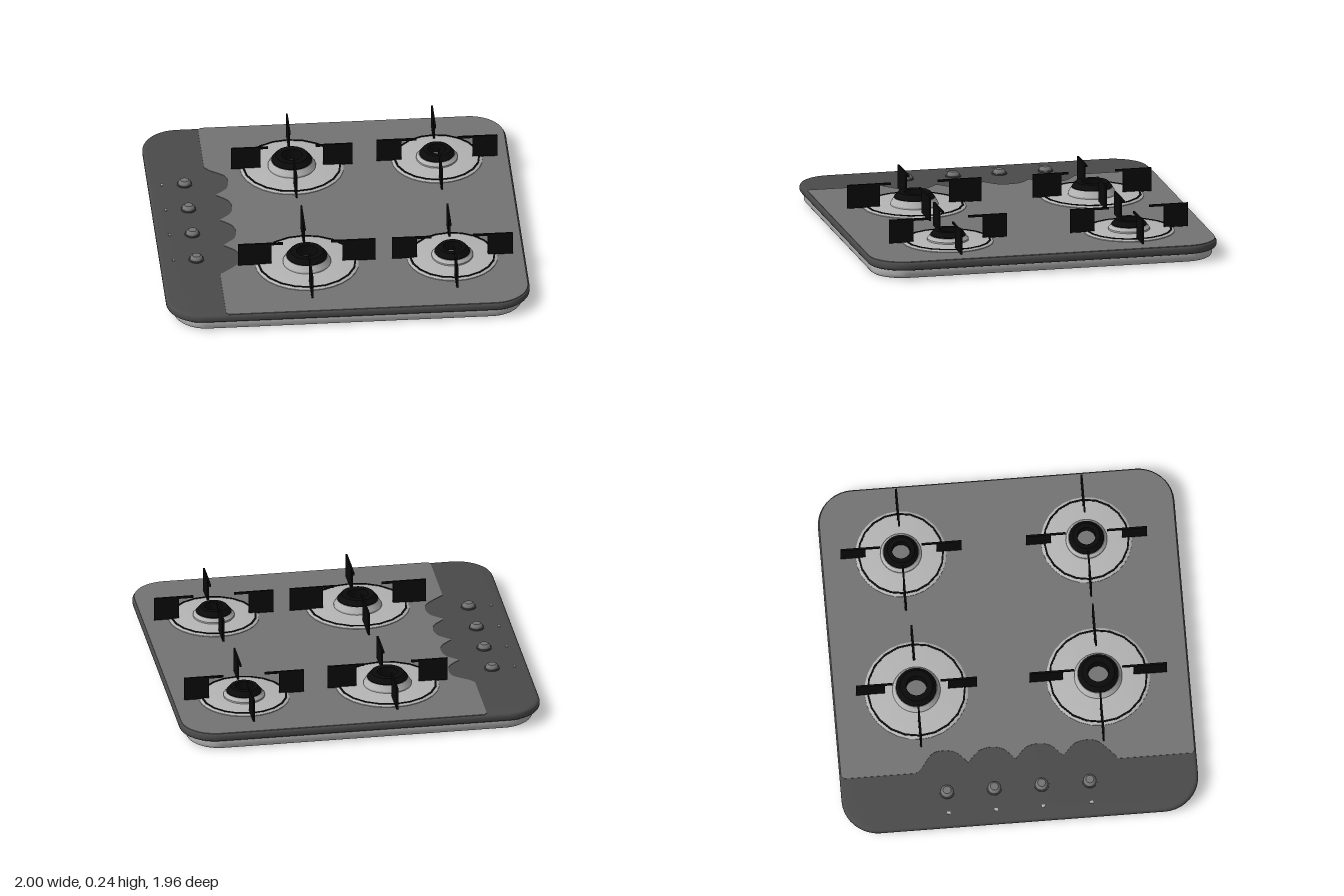
import * as THREE from 'three';
import { toCreasedNormals } from 'three/addons/utils/BufferGeometryUtils.js';

const mat = (name, color, side = THREE.FrontSide) => {
  const m = new THREE.MeshStandardMaterial({ color, side });
  m.name = name;
  return m;
};

export function createModel() {
  const dark = mat('dark enamel', 0x4a4a4a);
  const grey = mat('grey enamel', 0x737373);
  const steel = mat('light steel', 0xb4b4b4, THREE.DoubleSide);
  const black = mat('black iron', 0x0a0a0a, THREE.DoubleSide);
  const model = new THREE.Group();
  model.name = 'gasHob';

  const add = (parent, name, geo, material, x = 0, y = 0, z = 0) => {
    const mesh = new THREE.Mesh(geo, material);
    mesh.name = name;
    mesh.position.set(x, y, z);
    parent.add(mesh);
    return mesh;
  };
  const lathe = (pts, seg) => toCreasedNormals(
    new THREE.LatheGeometry(pts.map(p => new THREE.Vector2(...p)), seg), 0.5);

  // Rounded rectangle drawn in x and z
  const roundRect = (hx, hz, r) => {
    const s = new THREE.Shape();
    s.absarc(hx - r, hz - r, r, 0, Math.PI / 2);
    s.absarc(r - hx, hz - r, r, Math.PI / 2, Math.PI);
    s.absarc(r - hx, r - hz, r, Math.PI, Math.PI * 1.5);
    s.absarc(hx - r, r - hz, r, Math.PI * 1.5, Math.PI * 2);
    s.closePath();
    return s;
  };
  // Horizontal slab with rounded edges between two heights
  const slab = (hx, hz, r, y0, y1, bevel) => {
    const geo = new THREE.ExtrudeGeometry(roundRect(hx - bevel, hz - bevel, r - bevel), {
      depth: y1 - y0 - 2 * bevel, bevelThickness: bevel, bevelSize: bevel, bevelSegments: 4, curveSegments: 5,
    });
    geo.rotateX(Math.PI / 2).translate(0, y1 - bevel, 0);
    return toCreasedNormals(geo, 0.6);
  };
  add(model, 'base', slab(0.96, 0.96, 0.18, 0, 0.065, 0.02), steel);
  add(model, 'rim', slab(1, 0.98, 0.2, 0.052, 0.1, 0.018), dark);

  // Grey cooking surface with a scalloped edge beside the controls
  const knobZ = [0.385, 0.12, -0.14, -0.4];
  const surface = new THREE.Shape();
  surface.moveTo(-0.665, -0.972);
  surface.lineTo(0.8, -0.972);
  surface.absarc(0.8, -0.782, 0.19, -Math.PI / 2, 0);
  surface.lineTo(0.99, 0.782);
  surface.absarc(0.8, 0.782, 0.19, 0, Math.PI / 2);
  surface.lineTo(-0.67, 0.972);
  surface.lineTo(-0.683, 0.955);
  surface.lineTo(-0.683, 0.55);
  const wave = [];
  knobZ.forEach((z, i) => {
    wave.push([i ? -0.615 : -0.65, z + (i ? 0.108 : 0.14)], [-0.575, z + 0.065], [-0.56, z], [-0.575, z - 0.065]);
    wave.push(i < 3 ? [-0.615, z - 0.108] : [-0.65, z - 0.125]);
    if (i < 3) wave.push([-0.638, (z + knobZ[i + 1]) / 2]);
  });
  surface.splineThru(wave.map(p => new THREE.Vector2(...p)));
  surface.lineTo(-0.68, -0.56);
  surface.lineTo(-0.68, -0.955);
  surface.closePath();
  const surfaceGeo = new THREE.ExtrudeGeometry(surface, { depth: 0.004, bevelEnabled: false, curveSegments: 5 });
  surfaceGeo.rotateX(Math.PI / 2);
  add(model, 'cookingSurface', surfaceGeo, grey, 0, 0.103, 0);

  // Control knobs and their marker dots
  for (const z of knobZ) {
    add(model, 'knobCollar', new THREE.CylinderGeometry(0.042, 0.042, 0.008, 20), dark, -0.8, 0.103, z);
    add(model, 'knob', lathe([[0.036, 0], [0.035, 0.012], [0.029, 0.022], [0.022, 0.027], [0, 0.027]], 20),
      grey, -0.8, 0.102, z);
    add(model, 'marker', new THREE.BoxGeometry(0.014, 0.006, 0.018), steel, -0.925, 0.102, z);
  }

  // Burner: steel dish, black groove, steel skirt, open black crown, four grate arms
  const burner = (name, x, z, dish, ring, skirt, crown, hole, top, reach, blockIn) => {
    const g = new THREE.Group();
    g.name = name;
    g.position.set(x, 0, z);
    model.add(g);
    add(g, 'dish', lathe([[dish, 0.1], [dish, 0.107], [dish - 0.012, 0.114], [ring, 0.115], [0, 0.115]], 28), steel);
    add(g, 'groove', lathe([[ring + 0.005, 0.112], [ring + 0.005, 0.118], [ring - 0.005, 0.118], [ring - 0.005, 0.112]], 20), black);
    add(g, 'skirt', lathe([[skirt, 0.115], [skirt, 0.124], [crown + 0.002, top - 0.03], [hole, top - 0.03]], 28), steel);
    add(g, 'crown', lathe([[crown, top - 0.032], [crown, top - 0.026], [crown - 0.022, top],
      [hole, top], [hole, 0.115]], 28), black);
    add(g, 'crownFloor', new THREE.CylinderGeometry(hole, hole, 0.005, 24), grey, 0, 0.116, 0);

    const arm = new THREE.Shape([[blockIn, 0.112], [reach, 0.112], [reach, 0.244], [skirt, 0.244],
      [skirt, 0.232], [blockIn, 0.232]].map(p => new THREE.Vector2(...p)));
    const armGeo = new THREE.ExtrudeGeometry(arm, { depth: 0.01, bevelEnabled: false });
    armGeo.translate(0, 0, -0.005);
    for (let i = 0; i < 4; i++) add(g, 'grateArm', armGeo, black).rotation.y = i * Math.PI / 2;
  };
  burner('frontLargeBurner', -0.2, 0.48, 0.285, 0.267, 0.132, 0.112, 0.057, 0.185, 0.378, 0.195);
  burner('backLargeBurner', -0.2, -0.52, 0.285, 0.267, 0.132, 0.112, 0.057, 0.185, 0.333, 0.173);
  burner('frontSmallBurner', 0.6, 0.48, 0.25, 0.232, 0.114, 0.097, 0.05, 0.172, 0.332, 0.195);
  burner('backSmallBurner', 0.6, -0.54, 0.25, 0.232, 0.114, 0.097, 0.05, 0.172, 0.332, 0.195);
  return model;
}
